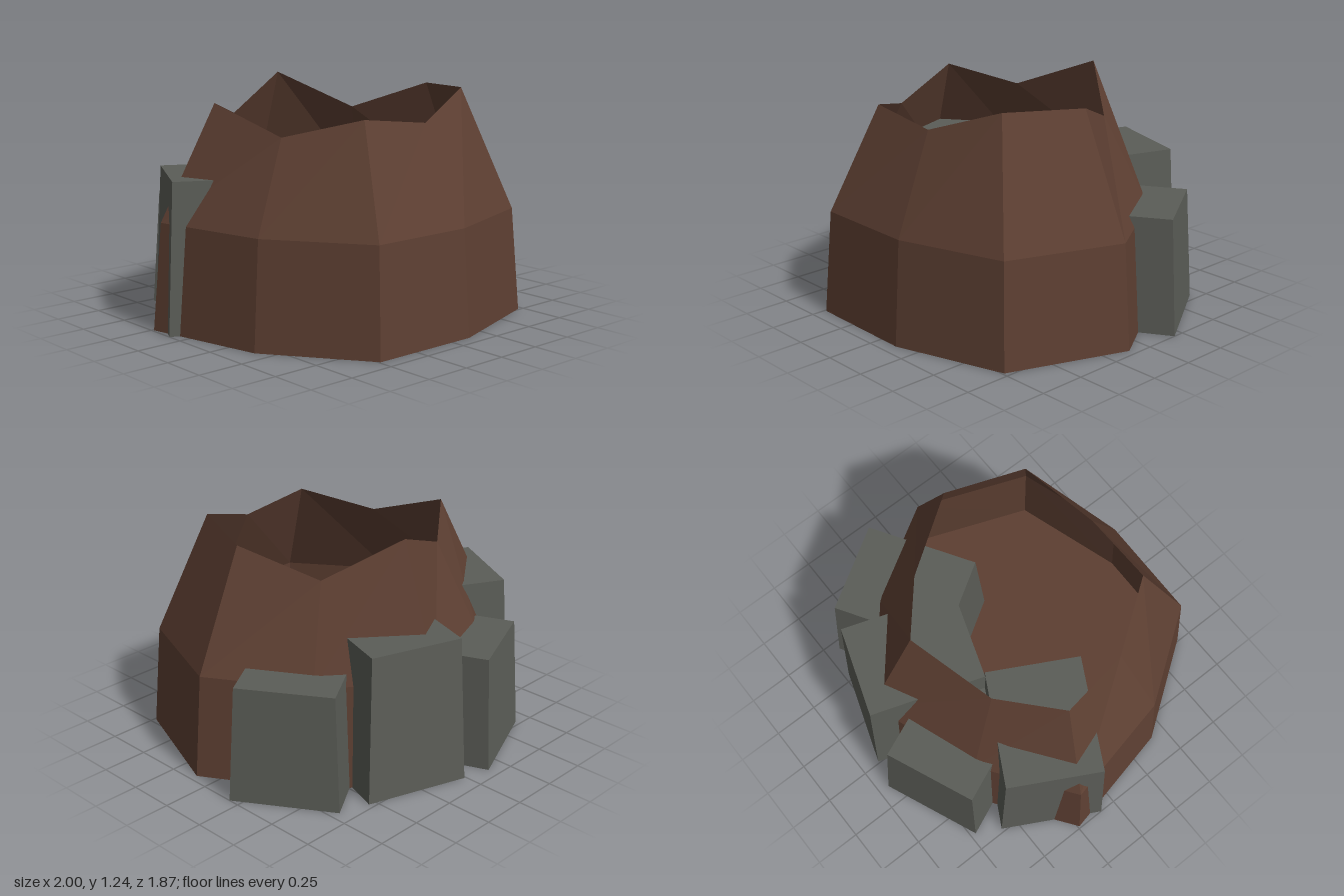
import * as THREE from 'three';

const brown = new THREE.MeshStandardMaterial({ color: 0x5d3f32, flatShading: true, side: THREE.DoubleSide });
brown.name = 'brown';
const grey = new THREE.MeshStandardMaterial({ color: 0x5b5d57, flatShading: true });
grey.name = 'stoneGrey';

// foot outline [x, z] and jagged rim [x, y, z], corner by corner
const foot = [[0.96, 0.11], [0.72, 0.74], [0.12, 0.93], [-0.49, 0.92], [-0.85, 0.41],
  [-0.99, -0.24], [-0.5, -0.6], [0.14, -0.83], [0.64, -0.42]];
const rim = [[0.63, 1.19, 0.11], [0.47, 1.21, 0.52], [0.07, 1.07, 0.65], [-0.34, 1.12, 0.64], [-0.58, 1.02, 0.3],
  [-0.67, 1.16, -0.12], [-0.36, 1.06, -0.36], [0.08, 1.24, -0.52], [0.41, 1.04, -0.26]];

function faceted(points, index) {
  const indexed = new THREE.BufferGeometry();
  indexed.setAttribute('position', new THREE.Float32BufferAttribute(points.flat(), 3));
  indexed.setIndex(index);
  const geometry = indexed.toNonIndexed();
  geometry.computeVertexNormals();
  return geometry;
}

// thin wall: foot ring, shoulder ring, rim ring
function wallGeometry() {
  const n = foot.length;
  const points = [
    ...foot.map(([x, z]) => [x, 0, z]),
    ...foot.map(([x, z]) => [x * 0.95, 0.56, 0.03 + (z - 0.03) * 0.955]),
    ...rim,
  ];
  const index = [];
  for (let row = 0; row < 2; row++) {
    for (let i = 0; i < n; i++) {
      const a = row * n + i, b = row * n + (i + 1) % n;
      index.push(a, a + n, b, b, a + n, b + n);
    }
  }
  return faceted(points, index);
}

function floorGeometry() {
  const points = [[0, 0.004, 0.03], ...foot.map(([x, z]) => [x, 0.004, z])];
  const index = [];
  for (let i = 0; i < foot.length; i++) index.push(0, (i + 1) % foot.length + 1, i + 1);
  // wind the fan so it faces upward
  return faceted(points, index);
}

// tapered block standing on its outer bottom edge from (x1, z1) to (x2, z2), reaching inward
function stone(x1, z1, x2, z2, height) {
  const width = Math.hypot(x2 - x1, z2 - z1), depth = 0.7;
  const geometry = new THREE.BoxGeometry(width, height, depth);
  const p = geometry.attributes.position;
  for (let i = 0; i < p.count; i++) {
    if (p.getY(i) > 0) p.setXYZ(i, p.getX(i) * 0.9, p.getY(i), p.getZ(i) * 0.9);
  }
  geometry.computeVertexNormals();
  const mesh = new THREE.Mesh(geometry, grey);
  const dx = (x2 - x1) / width, dz = (z2 - z1) / width;
  mesh.position.set((x1 + x2) / 2 - dz * depth / 2, height / 2, (z1 + z2) / 2 + dx * depth / 2);
  mesh.rotation.y = Math.atan2(-dz, dx);
  return mesh;
}

export function createModel() {
  const group = new THREE.Group();
  group.name = 'stumpWithStones';

  const wall = new THREE.Mesh(wallGeometry(), brown);
  wall.name = 'stumpWall';
  const floor = new THREE.Mesh(floorGeometry(), brown);
  floor.name = 'stumpFloor';
  group.add(wall, floor);

  // stones set through the back of the wall
  const stones = [
    [-1, -0.09, -0.73, -0.59, 0.79],
    [-0.66, -0.72, -0.14, -0.94, 0.62],
    [0.01, -0.9, 0.54, -0.72, 0.79],
    [0.7, -0.67, 1, -0.19, 0.62],
  ];
  stones.forEach((s, i) => {
    const mesh = stone(...s);
    mesh.name = `stone${i + 1}`;
    group.add(mesh);
  });
  return group;
}
